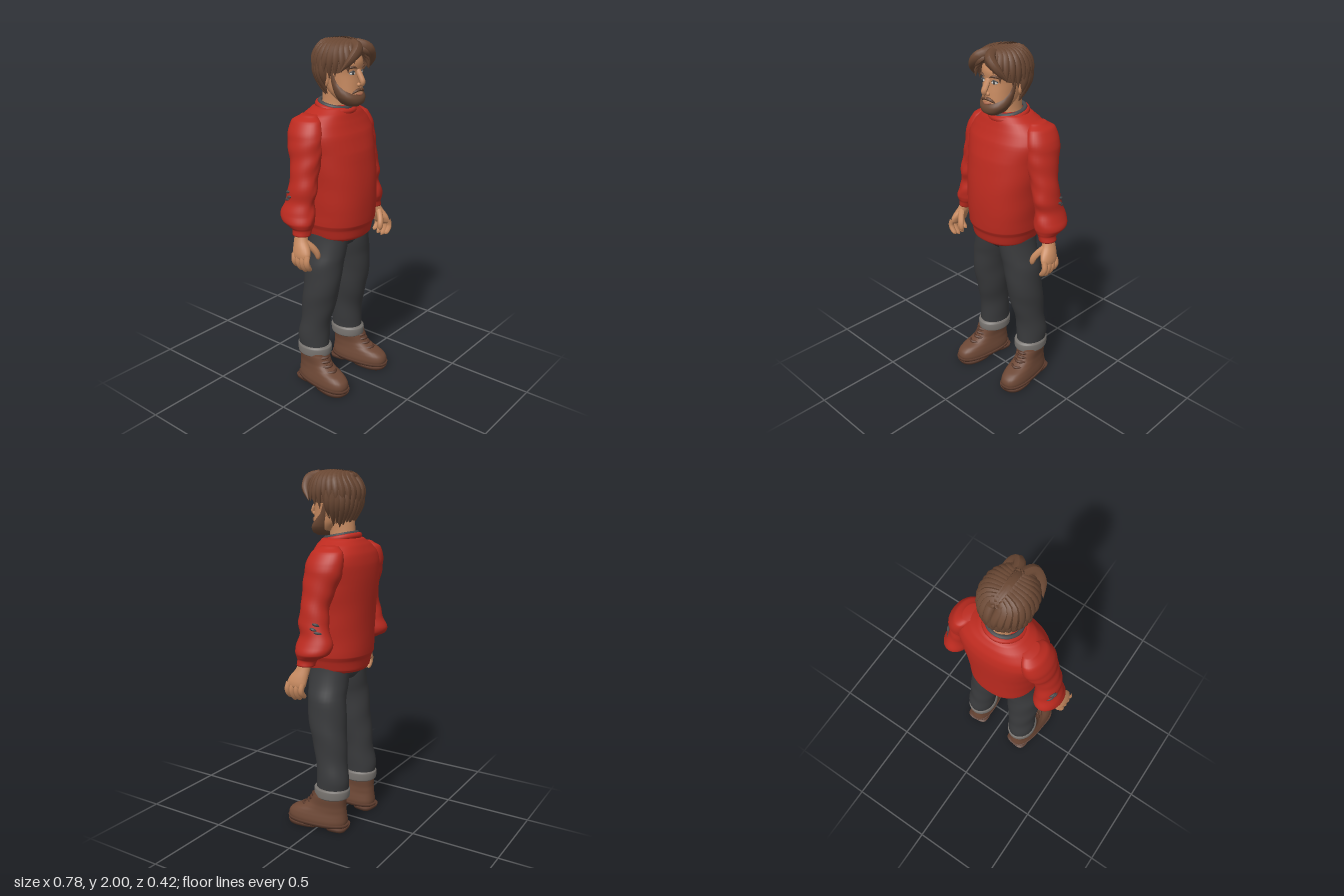
import * as THREE from 'three';

const mat = (name, color) => Object.assign(new THREE.MeshStandardMaterial({ color }), { name });
const M = {
  skin: mat('skin', 0xc78a60), hair: mat('hair brown', 0x694733), boot: mat('boot leather', 0x6c4735),
  sole: mat('boot sole', 0x5a3a2c), red: mat('sweater red', 0xbc2a1f), denim: mat('dark denim', 0x393a3c),
  grey: mat('cuff grey', 0x787470), dark: mat('lining charcoal', 0x48494b), white: mat('eye white', 0xd9d4cd),
  lip: mat('lip', 0xa8684c),
};
const V = (x, y, z) => new THREE.Vector3(x, y, z);

function add(parent, name, geometry, material) {
  const mesh = new THREE.Mesh(geometry, material);
  mesh.name = name;
  parent.add(mesh);
  return mesh;
}

// Smooth closed body through horizontal rings [y, centre x, half width, front z, back z].
function loft(rings, { s = 1, n = 32, sub = 5, e = 2, fold = () => 1 } = {}) {
  const R = [...rings].sort((a, b) => a[0] - b[0]), rows = [], pos = [], idx = [];
  const at = i => R[Math.max(0, Math.min(R.length - 1, i))];
  for (let i = 0; i < R.length - 1; i++) for (let k = 0; k < sub; k++) {
    const t = k / sub, p = [at(i - 1), at(i), at(i + 1), at(i + 2)];
    rows.push(R[0].map((_, c) => {
      if (c === 0) return p[1][0] + (p[2][0] - p[1][0]) * t;
      const m1 = (p[2][c] - p[0][c]) / 2, m2 = (p[3][c] - p[1][c]) / 2, d = p[2][c] - p[1][c];
      return p[1][c] + m1 * t + (3 * d - 2 * m1 - m2) * t * t + (m1 + m2 - 2 * d) * t * t * t;
    }));
  }
  rows.push(at(R.length));
  const sp = v => Math.sign(v) * Math.abs(v) ** (2 / e);
  for (const [y, cx, rx, zf, zb] of rows) for (let i = 0; i < n; i++) {
    const a = i / n * Math.PI * 2, f = fold(a * s, y);
    pos.push(cx * s + rx * f * sp(Math.sin(a)), y, (zf + zb) / 2 + (zf - zb) / 2 * f * sp(Math.cos(a)));
  }
  const L = rows.length - 1;
  for (let j = 0; j < L; j++) for (let i = 0; i < n; i++) {
    const a = j * n + i, b = j * n + (i + 1) % n;
    idx.push(a, b, b + n, a, b + n, a + n);
  }
  const c = pos.length / 3;
  for (const r of [rows[0], rows[L]]) pos.push(r[1] * s, r[0], (r[3] + r[4]) / 2);
  for (let i = 0; i < n; i++) {
    const k = (i + 1) % n;
    idx.push(c, k, i, c + 1, L * n + i, L * n + k);
  }
  const g = new THREE.BufferGeometry();
  g.setAttribute('position', new THREE.Float32BufferAttribute(pos, 3));
  g.setIndex(idx);
  g.computeVertexNormals();
  return g;
}

// Tube narrowing to its tip: blunt for fingers, pointed for locks.
function strand(points, r, { seg = 12, sides = 8, blunt = false, both = false } = {}) {
  const curve = new THREE.CatmullRomCurve3(points);
  const g = new THREE.TubeGeometry(curve, seg, 1, sides), p = g.attributes.position, v = V(0, 0, 0);
  for (let i = 0; i <= seg; i++) {
    const t = i / seg, c = curve.getPointAt(t), u = both ? Math.abs(2 * t - 1) : t;
    const k = r * (blunt ? Math.sqrt(1 - u ** 6) : 1 - u ** 2.4) + 0.0003;
    for (let j = 0; j <= sides; j++) {
      const q = i * (sides + 1) + j;
      v.fromBufferAttribute(p, q).sub(c).multiplyScalar(k).add(c);
      p.setXYZ(q, v.x, v.y, v.z);
    }
  }
  g.computeVertexNormals();
  return g;
}

// Point on the hair volume at angle a from the front and height y.
function scalp(a, y, k = 1) {
  const d = y - 1.86;
  const f = k * (d > 0 ? Math.sqrt(Math.max(0, 1 - (d / 0.13) ** 2)) : 1 - 0.4 * (-d / 0.16) ** 1.6);
  return V(0.125 * f * Math.sin(a), y, 0.012 + 0.142 * f * Math.cos(a));
}

function buildHead() {
  const g = new THREE.Group();
  g.name = 'head';
  add(g, 'neck', loft([[1.58, 0, 0.07, 0.045, -0.11], [1.66, 0, 0.058, 0.04, -0.105], [1.76, 0, 0.06, 0.05, -0.1]]), M.skin);
  add(g, 'face', loft([[1.655, 0, 0.04, 0.125, 0.04], [1.68, 0, 0.068, 0.14, 0], [1.72, 0, 0.083, 0.136, -0.05],
    [1.77, 0, 0.09, 0.132, -0.09], [1.82, 0, 0.096, 0.127, -0.11], [1.88, 0, 0.1, 0.131, -0.115], [1.95, 0, 0.08, 0.1, -0.09]], { e: 2.2 }), M.skin);
  add(g, 'beard', loft([[1.647, 0, 0.032, 0.125, 0.055], [1.662, 0, 0.06, 0.146, 0.025], [1.688, 0, 0.08, 0.149, 0.01],
    [1.71, 0, 0.089, 0.137, 0], [1.735, 0, 0.093, 0.112, -0.005], [1.77, 0, 0.096, 0.075, -0.005], [1.83, 0, 0.1, 0.05, -0.005]], { e: 2.2 }), M.hair);
  add(g, 'nose', strand([V(0, 1.835, 0.122), V(0, 1.8, 0.143), V(0, 1.772, 0.156), V(0, 1.757, 0.142)], 0.016, { blunt: true }), M.skin);
  add(g, 'mouth', strand([V(-0.032, 1.717, 0.128), V(0, 1.712, 0.142), V(0.032, 1.717, 0.128)], 0.008, { both: true }), M.lip);
  for (const s of [1, -1]) {
    add(g, 'moustache', strand([V(0, 1.738, 0.138), V(s * 0.025, 1.733, 0.136), V(s * 0.052, 1.712, 0.115)], 0.009), M.hair);
    add(g, 'eyebrow', strand([V(s * 0.016, 1.846, 0.133), V(s * 0.042, 1.855, 0.128), V(s * 0.073, 1.845, 0.1)], 0.007, { both: true }), M.hair);
    add(g, 'nostril', new THREE.SphereGeometry(0.011, 10, 8), M.skin).position.set(s * 0.013, 1.763, 0.14);
    const eye = add(g, 'eye', new THREE.SphereGeometry(1, 16, 10), M.white);
    eye.scale.set(0.018, 0.009, 0.008);
    eye.position.set(s * 0.04, 1.822, 0.118);
    eye.rotation.y = s * 0.35;
    const iris = add(g, 'iris', new THREE.SphereGeometry(1, 12, 8), M.dark);
    iris.scale.set(0.0085, 0.0085, 0.004);
    iris.position.set(s * 0.04, 1.822, 0.124);
    add(g, 'eyelid', strand([V(s * 0.02, 1.824, 0.122), V(s * 0.041, 1.833, 0.124), V(s * 0.063, 1.823, 0.11)], 0.0035, { both: true }), M.dark);
    const ear = add(g, 'ear', new THREE.SphereGeometry(1, 14, 10), M.skin);
    ear.scale.set(0.013, 0.036, 0.022);
    ear.position.set(s * 0.1, 1.785, -0.012);
    ear.rotation.set(-0.2, s * 0.35, 0);
  }
  return g;
}

function buildHair() {
  const g = new THREE.Group();
  g.name = 'hair';
  // cap, open at the face and reaching the nape
  const cols = 64, rowsN = 18, cap = new THREE.PlaneGeometry(1, 1, cols, rowsN), p = cap.attributes.position;
  const hairline = a => {
    const d = Math.abs(a) * 180 / Math.PI, S = THREE.MathUtils.smoothstep;
    return 1.925 - 0.1 * S(d, 5, 65) - 0.125 * S(d, 95, 135);
  };
  for (let j = 0; j <= rowsN; j++) for (let i = 0; i <= cols; i++) {
    const a = (i / cols * 2 - 1) * Math.PI, t = j / rowsN;
    const y = 1.99 - (1.99 - hairline(a)) * t ** 1.6;
    const v = scalp(a, y, 1 + 0.015 * Math.sin(a * 18));
    p.setXYZ(j * (cols + 1) + i, v.x, v.y, v.z);
  }
  cap.computeVertexNormals();
  const capMat = M.hair;
  capMat.side = THREE.DoubleSide;
  add(g, 'hairCap', cap, capMat);
  for (const s of [1, -1]) {
    // locks combed from the parting to the sides
    for (let i = 0; i < 13; i++) {
      const u = i / 12, a = s * (0.24 + u * 2.75), end = hairline(a) - 0.005 - 0.014 * (i % 3);
      const low = Math.max(end, 1.775), z0 = 0.115 - 0.2 * u;
      add(g, 'combedLock', strand([V(s * 0.013, 1.972 - 0.02 * Math.abs(u - 0.45), z0), scalp(a * 0.97, 1.95, 1.02),
        scalp(a, 1.89 + (low < 1.87 ? 0 : 0.035), 1.04), scalp(a * 1.02, low, 1.12)], 0.027, { seg: 16 }), M.hair);
    }
    // lower layer over the nape and behind the ears
    for (let i = 0; i < 8; i++) {
      const a = s * (1.75 + i * 0.19), end = 1.69 + 0.012 * (i % 3) + (i === 0 ? 0.05 : 0);
      add(g, 'napeLock', strand([scalp(a, 1.89, 0.97), scalp(a, 1.82, 1.02), scalp(a, 1.75, 1.02), scalp(a, end, 1.03)], 0.024), M.hair);
    }
    // fringe falling away from the parting
    add(g, 'fringe', strand([V(s * 0.012, 1.965, 0.1), V(s * 0.04, 1.95, 0.15), V(s * 0.085, 1.905, 0.15), V(s * 0.125, 1.835, 0.105)], 0.03, { seg: 16 }), M.hair);
    add(g, 'fringe', strand([V(s * 0.01, 1.96, 0.1), V(s * 0.025, 1.935, 0.15), V(s * 0.06, 1.895, 0.16)], 0.023), M.hair);
  }
  return g;
}

function buildSweater() {
  const g = new THREE.Group();
  g.name = 'sweater';
  const fold = (a, y) => 1 + 0.008 * Math.sin(y * 34 + Math.cos(a) * 2) * Math.abs(Math.sin(a));
  add(g, 'sweaterBody', loft([[0.915, 0, 0.165, 0.15, -0.165], [0.93, 0, 0.176, 0.167, -0.175], [0.98, 0, 0.188, 0.178, -0.183],
    [1.01, 0, 0.202, 0.192, -0.196], [1.2, 0, 0.214, 0.193, -0.2], [1.4, 0, 0.235, 0.163, -0.208], [1.5, 0, 0.25, 0.13, -0.205],
    [1.56, 0, 0.228, 0.103, -0.19], [1.605, 0, 0.178, 0.085, -0.165], [1.635, 0, 0.125, 0.068, -0.14], [1.645, 0, 0.09, 0.045, -0.12]],
    { n: 48, e: 2.25, fold }), M.red);
  const ring = (name, r, tube, m, y, sx, sz) => {
    const t = add(g, name, new THREE.TorusGeometry(r, tube, 10, 40).rotateX(Math.PI / 2).scale(sx, 1, sz), m);
    t.position.set(0, y, -0.024);
    t.rotation.x = 0.2;
  };
  ring('collar', 0.1, 0.017, M.red, 1.633, 0.98, 0.98);
  ring('undershirtCollar', 0.088, 0.012, M.dark, 1.649, 1, 0.98);
  for (const s of [1, -1]) {
    const wrinkle = (a, y) => 1 + (y < 1.5 ? 0.022 * Math.sin(y * 58 + a * 1.5) : 0);
    add(g, 'sleeve', loft([[1.61, 0.175, 0.035, -0.01, -0.11], [1.58, 0.2, 0.055, 0.03, -0.15], [1.52, 0.215, 0.075, 0.055, -0.16],
      [1.45, 0.225, 0.081, 0.06, -0.15], [1.38, 0.24, 0.075, 0.06, -0.125], [1.3, 0.262, 0.07, 0.055, -0.105], [1.22, 0.28, 0.066, 0.062, -0.112],
      [1.16, 0.287, 0.064, 0.05, -0.125], [1.1, 0.297, 0.075, 0.062, -0.147], [1.06, 0.306, 0.077, 0.065, -0.132],
      [1.035, 0.308, 0.062, 0.058, -0.085], [1.02, 0.31, 0.05, 0.052, -0.058], [0.99, 0.318, 0.046, 0.05, -0.05]], { s, fold: wrinkle }), M.red);
    // worn elbow tears
    [[1.225, 1.9, 2.4], [1.2, 1.75, 2.2], [1.18, 1.95, 2.7]].forEach(([y, a0, a1]) => add(g, 'elbowTear', strand(
      [0, 0.5, 1].map(t => {
        const a = a0 + (a1 - a0) * t;
        return V(s * (0.283 + 0.066 * Math.sin(a)), y - 0.012 * t, -0.028 + 0.089 * Math.cos(a));
      }), 0.008, { both: true }), M.dark));
  }
  return g;
}

function buildHand(s) {
  const g = new THREE.Group();
  g.name = s > 0 ? 'leftHand' : 'rightHand';
  add(g, 'palm', loft([[1.03, 0.317, 0.03, 0.034, -0.034], [0.97, 0.334, 0.032, 0.05, -0.032], [0.92, 0.352, 0.031, 0.084, -0.028],
    [0.885, 0.362, 0.025, 0.09, -0.024], [0.87, 0.364, 0.014, 0.08, -0.015]], { s, n: 20 }), M.skin);
  [0.012, 0, 0.004, 0.02].forEach((up, i) => {
    const z = 0.078 - i * 0.029;
    add(g, 'finger', strand([V(s * 0.366, 0.9, z), V(s * 0.375, 0.862, z + 0.004), V(s * 0.362, 0.825 + up * 0.6, z + 0.004), V(s * 0.338, 0.797 + up, z)], 0.016, { blunt: true }), M.skin);
  });
  add(g, 'thumb', strand([V(s * 0.335, 0.965, 0.03), V(s * 0.305, 0.925, 0.065), V(s * 0.287, 0.89, 0.08), V(s * 0.28, 0.852, 0.083)], 0.018, { blunt: true }), M.skin);
  return g;
}

function buildLeg(s) {
  const g = new THREE.Group();
  g.name = s > 0 ? 'leftLeg' : 'rightLeg';
  const fold = (a, y) => 1 + 0.018 * Math.sin(y * 30 + a * 2) * (y < 0.8 ? 1 : 0.3);
  add(g, 'trouserLeg', loft([[0.95, 0.09, 0.088, 0.12, -0.125], [0.85, 0.1, 0.097, 0.114, -0.12], [0.75, 0.125, 0.1, 0.104, -0.12],
    [0.6, 0.136, 0.096, 0.088, -0.13], [0.5, 0.141, 0.09, 0.063, -0.138], [0.4, 0.148, 0.081, 0.038, -0.144],
    [0.3, 0.155, 0.084, 0.03, -0.16], [0.22, 0.155, 0.08, 0.03, -0.155]], { s, fold }), M.denim);
  add(g, 'trouserCuff', loft([[0.188, 0.155, 0.08, 0.035, -0.152], [0.196, 0.155, 0.087, 0.046, -0.163], [0.238, 0.155, 0.088, 0.047, -0.166],
    [0.25, 0.155, 0.082, 0.035, -0.158]], { s }), M.grey);
  const boot = new THREE.Group();
  boot.name = 'boot';
  boot.position.x = s * 0.172;
  boot.rotation.y = s * 0.12;
  g.add(boot);
  add(boot, 'bootUpper', loft([[0.025, 0, 0.074, 0.2, -0.155], [0.05, 0, 0.077, 0.206, -0.158], [0.078, 0, 0.073, 0.196, -0.155],
    [0.1, 0, 0.068, 0.165, -0.152], [0.117, 0, 0.065, 0.115, -0.15], [0.145, 0, 0.063, 0.07, -0.147], [0.19, 0, 0.068, 0.045, -0.148],
    [0.21, 0, 0.066, 0.038, -0.146]], { e: 2.5 }), M.boot);
  add(boot, 'welt', loft([[0.018, 0, 0.079, 0.207, -0.162], [0.036, 0, 0.081, 0.211, -0.164]], { e: 2.5, sub: 1 }), M.sole);
  add(boot, 'frontSole', loft([[0, 0, 0.074, 0.202, -0.01], [0.02, 0, 0.078, 0.207, -0.03]], { e: 2.5, sub: 1 }), M.sole);
  add(boot, 'heel', loft([[0, 0, 0.066, -0.045, -0.16], [0.02, 0, 0.07, -0.04, -0.163]], { e: 3.5, sub: 1 }), M.sole);
  [[0.117, 0.112], [0.14, 0.08], [0.163, 0.062], [0.185, 0.05]].forEach(([y, z]) => add(boot, 'lace',
    strand([V(-0.045, y - 0.004, z - 0.035), V(0, y + 0.005, z + 0.004), V(0.045, y - 0.004, z - 0.035)], 0.008, { both: true, blunt: true }), M.sole));
  return g;
}

export function createModel() {
  const model = new THREE.Group();
  model.name = 'beardedMan';
  model.add(buildHead(), buildHair(), buildSweater());
  add(model, 'trouserSeat', loft([[0.86, 0, 0.1, 0.08, -0.1], [0.89, 0, 0.165, 0.105, -0.125], [0.97, 0, 0.17, 0.125, -0.14]]), M.denim);
  for (const s of [1, -1]) model.add(buildHand(s), buildLeg(s));
  return model;
}
